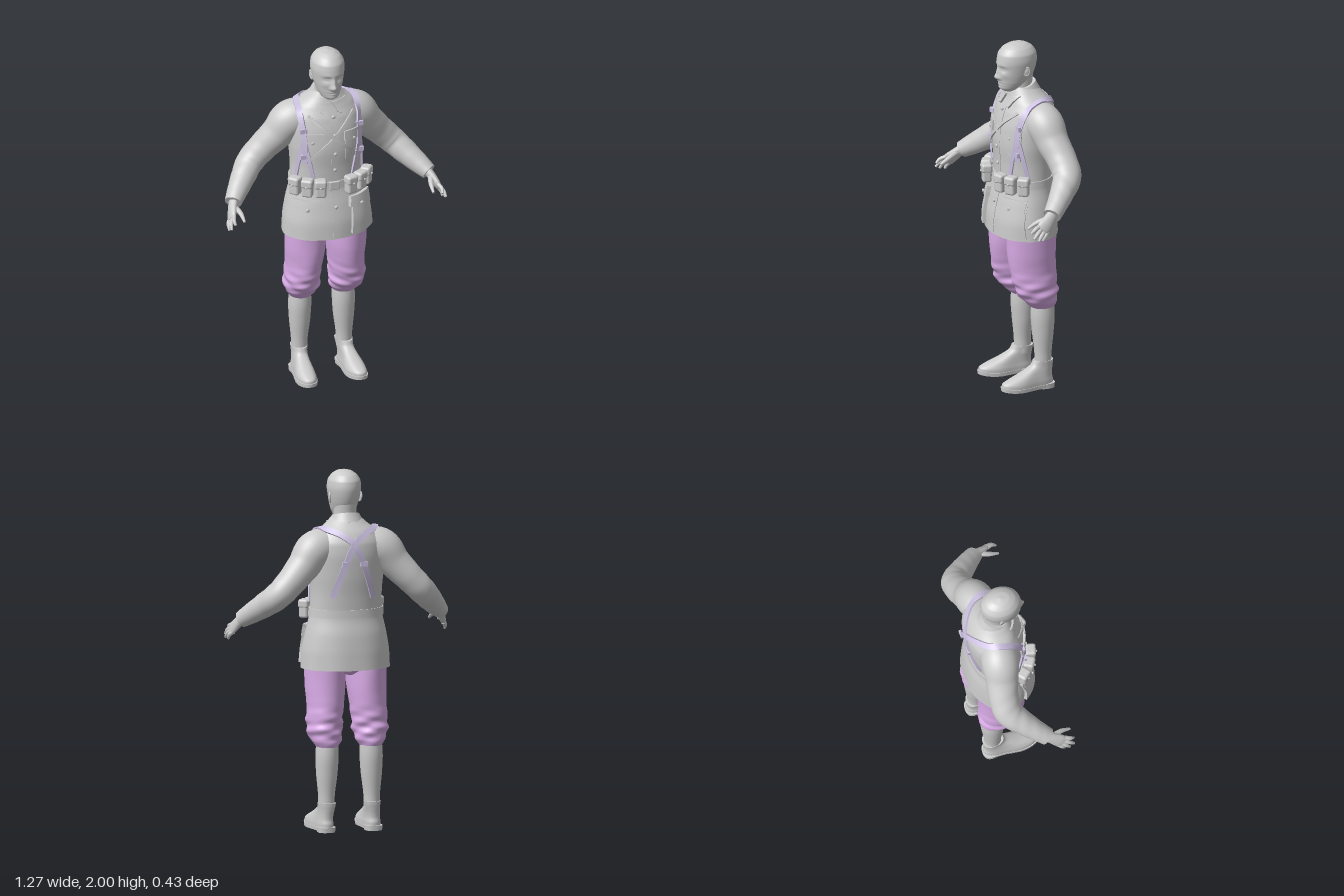
import * as THREE from 'three';
import { mergeGeometries, toCreasedNormals } from 'three/addons/utils/BufferGeometryUtils.js';
import { RoundedBoxGeometry } from 'three/addons/geometries/RoundedBoxGeometry.js';

const V = (x, y, z) => new THREE.Vector3(x, y, z);
const Y = V(0, 1, 0), Z = V(0, 0, 1);
const gauss = (d, s) => Math.exp(-(d * d) / (2 * s * s));

// Surface through rows of points; closed rows wrap around
function grid(rows, closed) {
  const n = rows[0].length, idx = [];
  for (let i = 0; i < rows.length - 1; i++)
    for (let j = 0; j < (closed ? n : n - 1); j++) {
      const a = i * n + j, b = i * n + (j + 1) % n;
      idx.push(a, b, a + n, b, b + n, a + n);
    }
  const g = new THREE.BufferGeometry().setFromPoints(rows.flat());
  g.setIndex(idx);
  g.computeVertexNormals();
  return g;
}

// Capped tube through sections [x, y, z, side radius, depth radius]
function loft(sections, { n = 28, steps = 24, axis, ref = Z, p = 2, deform } = {}) {
  const path = new THREE.CatmullRomCurve3(sections.map(s => V(s[0], s[1], s[2])));
  const size = new THREE.CatmullRomCurve3(sections.map(s => V(s[3], s[4], 0)));
  const rows = [];
  for (let i = 0; i <= steps; i++) {
    const t = i / steps, c = path.getPoint(t), r = size.getPoint(t);
    const T = axis || path.getTangent(t);
    const v = ref.clone().addScaledVector(T, -ref.dot(T)).normalize();
    const u = v.clone().cross(T);
    rows.push(Array.from({ length: n }, (_, j) => {
      const a = j / n * Math.PI * 2, co = Math.cos(a), si = Math.sin(a);
      const q = c.clone()
        .addScaledVector(u, Math.sign(co) * Math.abs(co) ** (2 / p) * r.x)
        .addScaledVector(v, Math.sign(si) * Math.abs(si) ** (2 / p) * r.y);
      if (deform) deform(q, c, a, t);
      return q;
    }));
  }
  const mid = row => {
    const m = row.reduce((s, q) => s.add(q), V(0, 0, 0)).divideScalar(n);
    return row.map(() => m.clone());
  };
  const last = rows[steps];
  return mergeGeometries([grid(rows, true), grid([mid(rows[0]), rows[0]], true), grid([last, mid(last)], true)]);
}

export function createModel() {
  const model = new THREE.Group();
  model.name = 'uniformedFigure';
  const material = (name, color) => Object.assign(new THREE.MeshStandardMaterial({ color }), { name });
  const grey = material('plain grey', 0xcbcbcb);
  const lilac = material('lilac trousers', 0xdcaeea);
  const webbing = material('pale lilac webbing', 0xcdc2e2);

  function add(name, geo, mat = grey, parent = model) {
    const m = new THREE.Mesh(geo, mat);
    m.name = name;
    parent.add(m);
    return m;
  }
  const half = new THREE.Group();
  half.name = 'leftSide';

  // Jacket body and skirt
  const jacket = add('jacket', loft([
    [0, .905, -.015, .25, .185], [0, 1, -.015, .245, .18], [0, 1.1, -.02, .227, .165],
    [0, 1.21, -.022, .203, .145], [0, 1.32, -.025, .2, .15], [0, 1.43, -.028, .208, .16],
    [0, 1.53, -.036, .212, .159], [0, 1.61, -.043, .203, .146], [0, 1.67, -.042, .165, .118],
    [0, 1.71, -.032, .112, .095], [0, 1.75, -.02, .072, .072],
  ], {
    n: 72, steps: 60, axis: Y, p: 2.12,
    deform: (q, c, a) => {
      const hem = Math.max(0, 1.15 - q.y) / .25;
      const k = 1 + .008 * hem * Math.sin(a * 9);
      q.x *= k;
      q.z = c.z + (q.z - c.z) * k;
    },
  }));

  // Sleeve with soft elbow creases
  const sleeve = add('sleeve', loft([
    [.10, 1.59, -.05, .1, .095], [.19, 1.567, -.065, .107, .105], [.26, 1.485, -.08, .091, .092],
    [.34, 1.4, -.1, .08, .083], [.412, 1.327, -.096, .075, .08], [.474, 1.268, -.038, .068, .068],
    [.535, 1.212, .03, .056, .056], [.57, 1.18, .072, .046, .05],
  ], {
    n: 32, steps: 48,
    deform: (q, c, a, t) => {
      const k = 1 + .012 * gauss(t - .65, .18) * Math.sin(t * 55 + 3 * Math.sin(a));
      q.sub(c).multiplyScalar(k).add(c);
    },
  }), grey, half);

  // Finds the clothing surface from the front (f), back (b) or top (t)
  const ray = new THREE.Raycaster();
  function stick(x, w, mode = 'f') {
    for (let k = 0; k < 20; k++, x *= .97) {
      if (mode === 't') ray.set(V(x, 3, w), V(0, -1, 0));
      else ray.set(V(x, w, mode === 'f' ? 2 : -2), V(0, 0, mode === 'f' ? -1 : 1));
      const hit = ray.intersectObjects([jacket, sleeve])[0];
      if (hit) return { p: hit.point, n: hit.face.normal.clone() };
    }
    return { p: V(x, w, 0), n: Z.clone() };
  }

  // Cloth panel on the front from corners: lower inner, lower outer, upper outer, upper inner
  function panel(name, [a, b, c, d], offset, parent = half, n = 10) {
    const rows = [], lerp = THREE.MathUtils.lerp;
    for (let i = -1; i <= n + 1; i++) {
      const v = Math.min(Math.max(i / n, 0), 1), row = [];
      for (let j = -1; j <= n + 1; j++) {
        const u = Math.min(Math.max(j / n, 0), 1);
        const s = stick(lerp(lerp(a[0], b[0], u), lerp(d[0], c[0], u), v),
          lerp(lerp(a[1], b[1], u), lerp(d[1], c[1], u), v));
        const edge = i < 0 || j < 0 || i > n || j > n;
        row.push(s.p.addScaledVector(s.n, edge ? -.004 : offset));
      }
      rows.push(row);
    }
    add(name, toCreasedNormals(grid(rows, false), .9), grey, parent);
  }
  const rect = (x0, x1, y0, y1) => [[x0, y0], [x1, y0], [x1, y1], [x0, y1]];

  // Flat strap following the clothing
  function strap(name, pts, mat, width, steps = 40) {
    const s = pts.map(q => stick(...q));
    const path = new THREE.CatmullRomCurve3(s.map(q => q.p.clone().addScaledVector(q.n, .007)));
    const norm = new THREE.CatmullRomCurve3(s.map(q => q.n));
    const rows = [];
    for (let i = 0; i <= steps; i++) {
      const t = i / steps, c = path.getPoint(t), T = path.getTangent(t), N = norm.getPoint(t);
      N.addScaledVector(T, -N.dot(T)).normalize();
      const W = T.clone().cross(N);
      rows.push([[1, 1], [-1, 1], [-1, -1], [1, -1]].map(([h, w]) =>
        c.clone().addScaledVector(N, h * .005).addScaledVector(W, w * width / 2)));
    }
    add(name, toCreasedNormals(grid(rows, true), .7), mat, half);
  }

  function button(x, y, r, lift, parent) {
    const s = stick(x, y), m = add('button', new THREE.SphereGeometry(r, 12, 8), grey, parent);
    m.position.copy(s.p).addScaledVector(s.n, lift);
    m.scale.z = .6;
  }

  // Front opening, buttons, pockets and collar wings
  panel('placket', rect(-.018, .03, .915, 1.67), .003, model, 24);
  for (const y of [1.62, 1.52, 1.41, 1.31, 1.09]) button(.004, y, .011, .006, model);
  panel('chestPocket', rect(.065, .165, 1.37, 1.5), .005);
  panel('chestPocketFlap', [[.06, 1.48], [.172, 1.475], [.172, 1.535], [.06, 1.535]], .011);
  button(.115, 1.485, .009, .013, half);
  panel('skirtPocket', [[.088, .925], [.228, .925], [.208, 1.11], [.098, 1.11]], .018);
  panel('skirtPocketFlap', [[.08, 1.08], [.208, 1.065], [.202, 1.135], [.085, 1.135]], .025);
  button(.145, 1.085, .011, .029, half);
  panel('collarWing', [[.034, 1.642], [.054, 1.636], [.09, 1.708], [.006, 1.7]], .012);
  add('collarBand', loft([
    [0, 1.695, -.028, .098, .092], [0, 1.72, -.022, .09, .086], [0, 1.752, -.018, .076, .076],
  ], { n: 40, steps: 8, axis: Y, deform: q => { q.y -= (q.z + .02) * .28; } }));

  // Shoulder webbing, its lower forks and the crossed chest straps
  strap('shoulderStrap', [[.155, 1.36], [.152, 1.45], [.157, 1.54], [.163, 1.61], [.167, .01, 't'],
    [.16, -.05, 't'], [.13, -.105, 't'], [.065, 1.655, 'b'], [0, 1.605, 'b'], [-.045, 1.51, 'b'],
    [-.085, 1.4, 'b'], [-.112, 1.31, 'b']], webbing, .034, 70);
  strap('innerFork', [[.152, 1.49], [.135, 1.39], [.112, 1.265]], webbing, .022, 14);
  strap('outerFork', [[.158, 1.49], [.175, 1.39], [.187, 1.265]], webbing, .022, 14);
  strap('chestCross', [[-.13, 1.63], [-.06, 1.565], [0, 1.505], [.06, 1.45], [.13, 1.38]], grey, .016);
  for (const [x, y, side] of [[.154, 1.4, 'f'], [.155, 1.55, 'f'], [.05, 1.5, 'b']]) {
    const s = stick(x, y, side);
    add('strapBuckle', new THREE.BoxGeometry(.042, .026, .014), webbing, half)
      .position.copy(s.p).addScaledVector(s.n, .012);
  }

  // Belt, buckle and ammunition pouches
  add('belt', loft([[0, 1.195, -.022, .211, .153], [0, 1.24, -.022, .208, .152]],
    { n: 64, steps: 2, axis: Y, p: 2.12 }));
  add('beltBuckle', new RoundedBoxGeometry(.06, .05, .015, 2, .005)).position.set(0, 1.218, .134);
  for (const [x, z, turn] of [[.088, .154, .3], [.154, .122, .58], [.208, .07, .9]]) {
    const pouch = new THREE.Group();
    pouch.name = 'pouch';
    pouch.position.set(x, 1.222, z);
    pouch.rotation.y = turn;
    half.add(pouch);
    add('pouchBody', new RoundedBoxGeometry(.062, .1, .052, 3, .014), grey, pouch);
    add('pouchFlap', new RoundedBoxGeometry(.067, .05, .06, 3, .014), grey, pouch).position.y = .03;
    add('pouchStud', new THREE.SphereGeometry(.007, 8, 6), grey, pouch).position.set(0, .014, .031);
  }

  // Hand with four fingers and thumb
  const across = V(-.15, .6, .78);
  add('palm', loft([[.555, 1.198, .05, .027, .031], [.578, 1.165, .09, .024, .035],
    [.597, 1.13, .13, .02, .042], [.606, 1.114, .15, .014, .038]], { n: 16, steps: 12, ref: across }), grey, half);
  [[.603, 1.108, .213], [.624, 1.08, .207], [.63, 1.066, .18], [.622, 1.062, .152]].forEach((tip, k) => {
    const base = V(.6, 1.122, .138).addScaledVector(across, (1.5 - k) / 1.5 * .03);
    const end = V(...tip), mid = base.clone().lerp(end, .55).add(V(.006, .004, .002));
    add('finger', loft([[...base, .012, .013], [...mid, .011, .012], [...end, .007, .007]],
      { n: 10, steps: 8, ref: across }), grey, half);
  });
  add('thumb', loft([[.575, 1.168, .095, .018, .016], [.555, 1.148, .155, .014, .013], [.55, 1.118, .21, .007, .007]],
    { n: 10, steps: 8, ref: Y }), grey, half);

  // Baggy trouser leg with slanting folds, gathered below the knee, and the seat
  add('trouserLeg', loft([
    [.125, .475, -.085, .062, .068], [.127, .505, -.072, .082, .09], [.131, .55, -.052, .096, .111],
    [.13, .62, -.038, .099, .126], [.122, .7, -.03, .1, .133], [.118, .8, -.022, .109, .14], [.116, .95, -.02, .114, .145],
  ], {
    n: 40, steps: 56, axis: Y,
    deform: (q, c, a) => {
      const f = .05 * gauss(q.y - .57, .06) * (Math.sin(q.y * 75 + 4 * Math.sin(a + .6)) + .5 * Math.sin(q.y * 120 - 3 * Math.cos(a)))
        + .018 * Math.sin(a * 3 + q.y * 14);
      q.x += (q.x - c.x) * f;
      q.z += (q.z - c.z) * f;
    },
  }), lilac, half);
  add('trouserSeat', loft([[0, .872, -.025, .03, .1], [0, .895, -.025, .08, .13], [0, .95, -.02, .11, .145]],
    { axis: Y, steps: 8 }), lilac);

  // Lower leg, shoe, sole and heel
  add('lowerLeg', loft([[.13, .12, -.085, .044, .046], [.13, .2, -.085, .046, .048], [.128, .32, -.085, .059, .06],
    [.127, .42, -.085, .064, .067], [.125, .51, -.085, .06, .062]], { axis: Y }), grey, half);
  const last = q => {
    const toe = Math.max(0, q.z - .04) / .13;
    q.y += toe * toe * .012;
    q.x = .14 + (q.x - .14) * (1 - .2 * gauss(q.z + .03, .045)) + q.z * .05;
  };
  add('shoe', loft([[.14, .02, .015, .059, .156], [.14, .042, .014, .059, .155], [.14, .068, -.003, .055, .132],
    [.138, .1, -.04, .05, .096], [.135, .135, -.075, .049, .065], [.134, .162, -.084, .052, .058]],
  { n: 36, steps: 20, axis: Y, p: 2.3, deform: last }), grey, half);
  add('sole', toCreasedNormals(loft([[.14, .006, .016, .061, .16], [.14, .026, .016, .062, .161]],
    { n: 36, steps: 2, axis: Y, p: 2.4, deform: last }), .8), grey, half);
  add('heel', toCreasedNormals(loft([[.135, 0, -.095, .048, .05], [.135, .028, -.095, .05, .052]],
    { steps: 2, axis: Y, p: 2.6 }), .8), grey, half);

  // Neck and head with modelled face: [x, y, width, height, push]
  add('neck', loft([[0, 1.66, -.025, .075, .072], [0, 1.74, -.008, .064, .068], [0, 1.82, -.012, .064, .07]], { axis: Y, steps: 10 }));
  const face = [[0, 1.812, .011, .012, .02], [0, 1.84, .009, .02, .013], [.015, 1.807, .008, .007, .007],
    [.034, 1.862, .014, .01, -.01], [.034, 1.862, .009, .005, .005], [.03, 1.884, .022, .008, .003],
    [0, 1.783, .02, .004, .006], [0, 1.77, .017, .004, .006], [0, 1.776, .022, .0025, -.004], [0, 1.75, .018, .009, .006],
    [.045, 1.83, .014, .012, .004]];
  add('head', loft([
    [0, 1.725, .045, .03, .045], [0, 1.742, .042, .05, .07], [0, 1.78, .029, .069, .09], [0, 1.82, .02, .08, .104],
    [0, 1.86, .014, .088, .111], [0, 1.9, .012, .093, .115], [0, 1.94, .011, .089, .109], [0, 1.973, .01, .068, .084],
    [0, 1.992, .01, .039, .05], [0, 2, .01, .004, .005],
  ], {
    n: 96, steps: 72, axis: Y,
    deform: q => {
      if (q.z < .04) return;
      for (const [x, y, sx, sy, push] of face) q.z += push * gauss(Math.abs(q.x) - x, sx) * gauss(q.y - y, sy);
    },
  }));
  const ear = new THREE.Group();
  ear.name = 'ear';
  ear.position.set(.086, 1.848, -.008);
  ear.rotation.set(-.12, -.3, -.08);
  half.add(ear);
  add('earRim', new THREE.TorusGeometry(.015, .005, 8, 20).rotateY(Math.PI / 2).scale(1, 1.55, 1), grey, ear);
  add('earBowl', new THREE.SphereGeometry(.014, 12, 10).scale(.4, 1.5, 1), grey, ear);

  // Mirror every paired part
  const other = half.clone();
  other.name = 'rightSide';
  other.scale.x = -1;
  model.add(half, other);
  return model;
}
